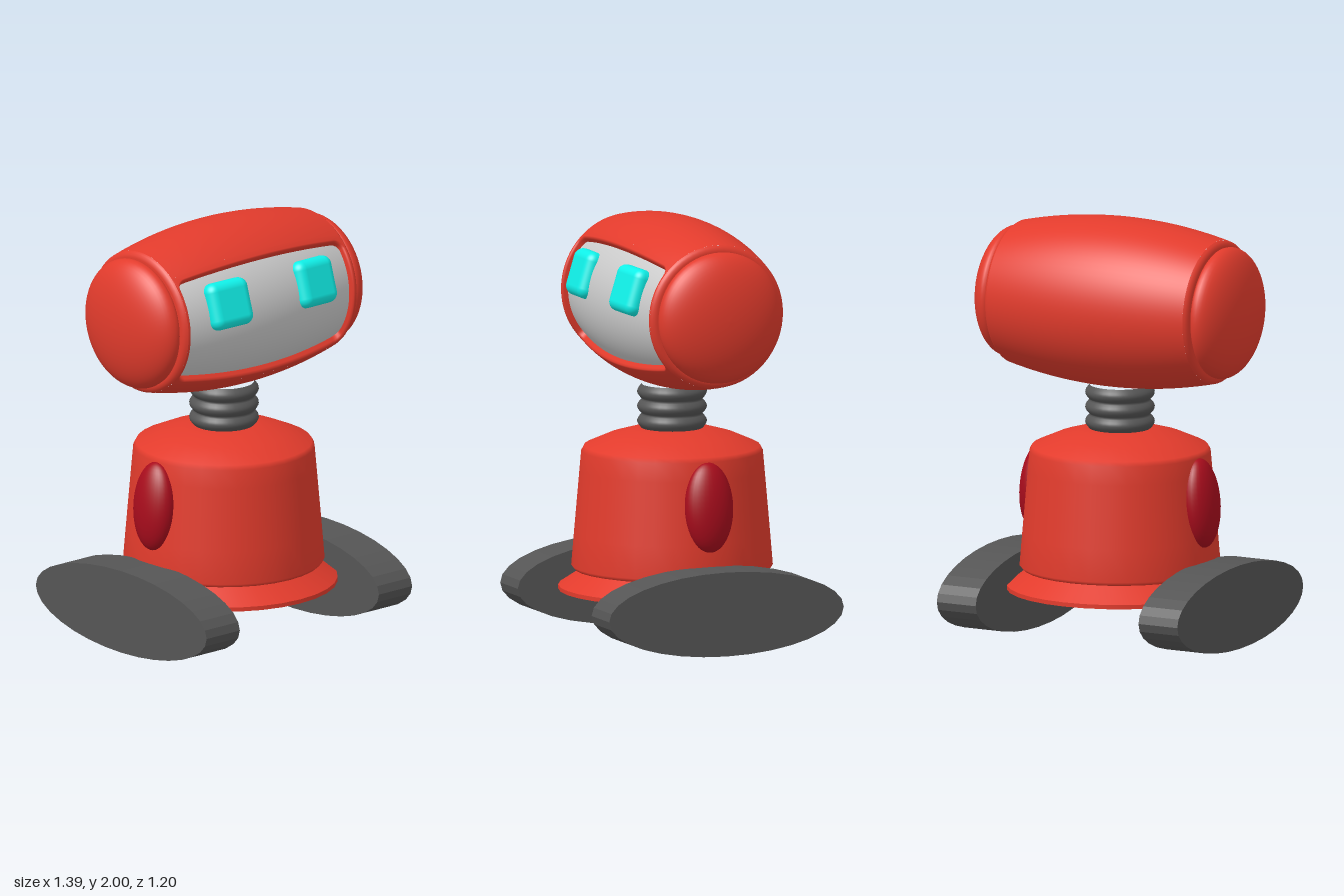
import * as THREE from 'three';
import { toCreasedNormals } from 'three/addons/utils/BufferGeometryUtils.js';
import { RoundedBoxGeometry } from 'three/addons/geometries/RoundedBoxGeometry.js';

const HEAD_Y = 1.6, ARC = 0.38; // head axis height; arc length per radian around it
const paint = (color) => new THREE.MeshStandardMaterial({ color });
const red = paint(0xe23b2c), darkRed = paint(0xa80c1c), grey = paint(0xcccccc);
const rubber = paint(0x555555), cyan = paint(0x10f0e8);

function add(parent, name, geometry, material, x = 0, y = 0, z = 0) {
  const mesh = new THREE.Mesh(geometry, material);
  mesh.name = name;
  mesh.position.set(x, y, z);
  parent.add(mesh);
  return mesh;
}

const points = (list) => list.map(([r, y]) => new THREE.Vector2(r, y));
const headRadius = (x) => 0.402 - 0.22 * x * x;

// Barrel strip turned around the x axis, angle 0 facing forward
function barrel(halfWidth, inset, start, length, segments) {
  const profile = [];
  for (let i = 0; i <= 24; i++) {
    const x = halfWidth * (i / 12 - 1);
    profile.push([headRadius(x) - inset, x]);
  }
  return new THREE.LatheGeometry(points(profile), segments, start, length).rotateZ(-Math.PI / 2);
}

// Rounded rectangle loop, counter-clockwise, with evenly divided sides
function roundedLoop(hx, hs, radius) {
  const corners = [[1, 1], [-1, 1], [-1, -1], [1, -1]];
  const arcs = corners.map(([sx, sy], c) => {
    const arc = [];
    for (let i = 0; i <= 6; i++) {
      const a = (c + i / 6) * Math.PI / 2;
      arc.push([sx * (hx - radius) + radius * Math.cos(a), sy * (hs - radius) + radius * Math.sin(a)]);
    }
    return arc;
  });
  const loop = [];
  arcs.forEach((arc, c) => {
    loop.push(...arc);
    const from = arc[6], to = arcs[(c + 1) % 4][0];
    for (let i = 1; i < 20; i++) {
      loop.push([0, 1].map((k) => from[k] + (to[k] - from[k]) * i / 20));
    }
  });
  return loop;
}

// Lip that fills between the shell opening and the sunken face panel
function faceRim() {
  const rings = [[0.53, 0.33, 0.001, 0], [0.522, 0.306, 0.05, 0], [0.516, 0.3, 0.046, 0.004],
    [0.512, 0.296, 0.043, 0.013], [0.51, 0.294, 0.041, 0.045]];
  const position = [], index = [];
  let n = 0;
  rings.forEach(([hx, hs, corner, depth], i) => {
    const loop = roundedLoop(hx, hs, corner);
    n = loop.length;
    loop.forEach(([x, s], k) => {
      const r = headRadius(x) - depth, a = s / ARC;
      position.push(x, r * Math.sin(a), r * Math.cos(a));
      if (i === 0) return;
      const k2 = (k + 1) % n, o = (i - 1) * n, p = i * n;
      index.push(o + k, o + k2, p + k2, o + k, p + k2, p + k);
    });
  });
  const g = new THREE.BufferGeometry();
  g.setAttribute('position', new THREE.Float32BufferAttribute(position, 3));
  g.setIndex(index);
  g.computeVertexNormals();
  return g;
}

function createHead() {
  const head = new THREE.Group();
  head.name = 'head';
  head.position.y = HEAD_Y;
  const open = 0.33 / ARC;
  add(head, 'headShell', barrel(0.53, 0, open, 2 * Math.PI - 2 * open, 64), red);
  add(head, 'faceRim', faceRim(), red);
  add(head, 'facePanel', barrel(0.515, 0.032, -0.79, 1.58, 32), grey);

  // Rolled shell edge and domed ear cap
  const edge = [[headRadius(0.53), 0.53], [0.334, 0.539], [0.325, 0.546], [0.312, 0.55], [0.28, 0.55]];
  const cap = [[0.28, 0.548], [0.3, 0.55], [0.309, 0.558]];
  for (let i = 0; i <= 16; i++) {
    const a = (i / 16) * Math.PI / 2;
    cap.push([0.312 * Math.cos(a), 0.57 + 0.124 * Math.sin(a)]);
  }
  for (const side of [1, -1]) {
    const turn = side > 0 ? 0 : Math.PI;
    for (const [name, profile] of [['shellEdge', edge], ['earCap', cap]]) {
      const g = new THREE.LatheGeometry(points(profile), 64).rotateZ(-Math.PI / 2).rotateY(turn);
      add(head, name, g, red);
    }
    // Pillow-shaped eyes lying on the curved panel
    const eye = add(head, 'eye', new RoundedBoxGeometry(0.235, 0.225, 0.1, 6, 0.045), cyan,
      side * 0.27, 0.108, 0.327);
    eye.rotation.set(-0.3, side * 0.08, 0);
  }
  return head;
}

export function createModel() {
  const model = new THREE.Group();
  model.name = 'robot';
  model.add(createHead());

  // Bellows neck
  const neck = [];
  for (let i = 0; i <= 36; i++) {
    const t = i / 36;
    neck.push([0.142 + 0.022 * Math.abs(Math.sin(t * 3 * Math.PI)), 0.995 + 0.21 * t]);
  }
  add(model, 'neck', new THREE.LatheGeometry(points(neck), 32), rubber);

  // Tapered torso
  const torso = [[0.42, 0.32], [0.46, 0.328], [0.474, 0.345], [0.461, 0.5], [0.435, 0.8],
    [0.427, 0.89], [0.415, 0.912], [0.3, 0.962], [0.2, 0.99], [0.13, 1.0], [0, 1.0]];
  add(model, 'torso', new THREE.LatheGeometry(points(torso), 32), red);

  // Flared base skirt with a flat underside
  const skirt = [[0, 0.23], [0.535, 0.23], [0.535, 0.25], [0.44, 0.312], [0.42, 0.325]];
  add(model, 'baseSkirt', toCreasedNormals(new THREE.LatheGeometry(points(skirt), 32), 0.5), red);

  const footMaterial = rubber.clone();
  footMaterial.flatShading = true;
  for (const side of [1, -1]) {
    // Oval shoulder pad leaning with the torso wall
    const pad = add(model, 'shoulderPad', new THREE.SphereGeometry(1, 32, 24), darkRed, side * 0.44, 0.678, 0);
    pad.scale.set(0.078, 0.213, 0.12);
    pad.rotation.z = side * 0.085;

    // Elliptical slab foot
    const foot = new THREE.CylinderGeometry(1, 1, 0.21, 32).rotateZ(Math.PI / 2).scale(1, 0.2, 0.6);
    add(model, 'foot', foot, footMaterial, side * 0.545, 0.2, 0);
  }
  return model;
}
